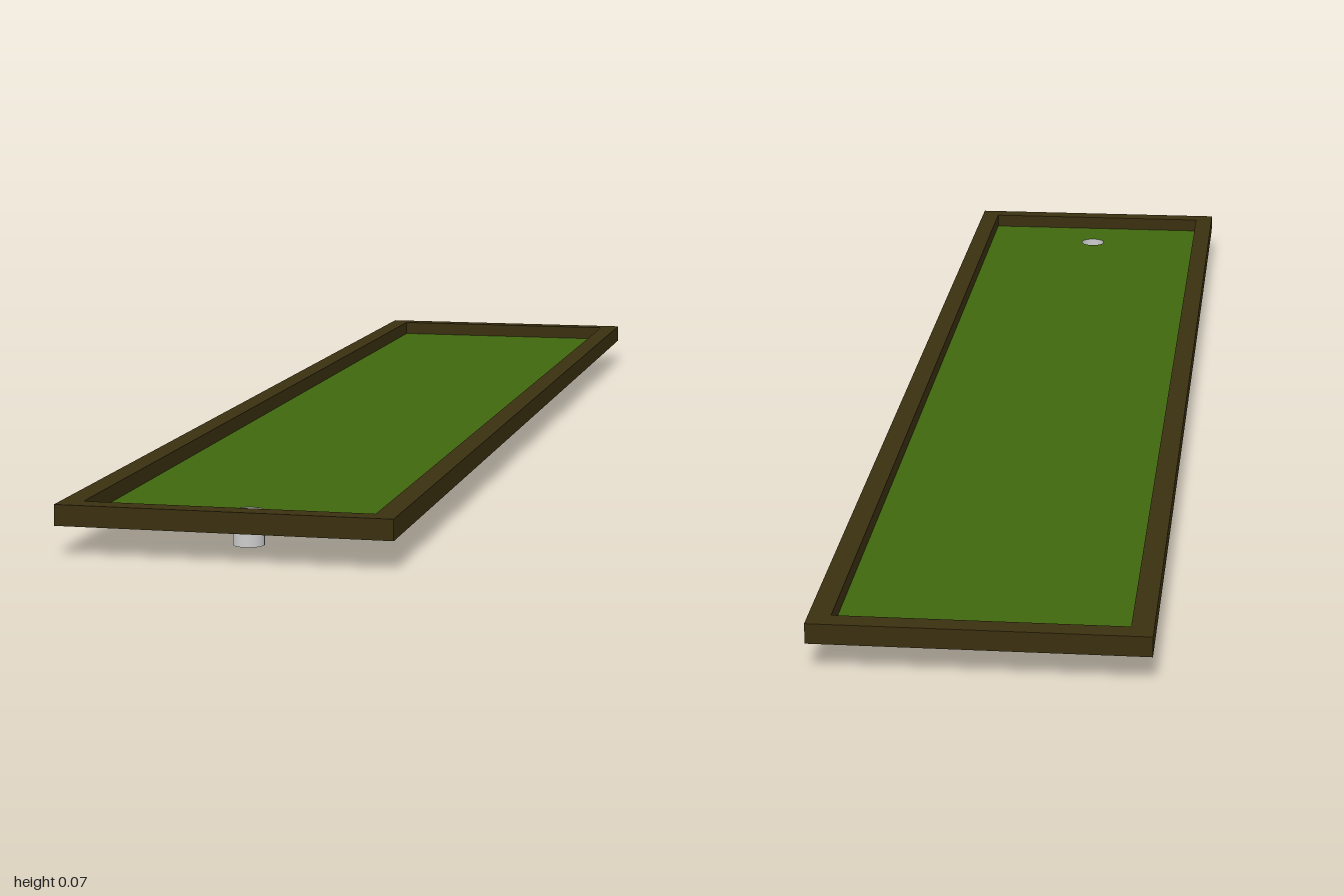
import * as THREE from 'three';

const W = 0.448, L = 2, RAIL = 0.03;      // outer width, length, rail thickness
const Y0 = 0.04, Y1 = 0.068;              // underside and top of the rails
const TURF_Y = 0.042, TURF_H = 0.004;     // turf panel underside and thickness
const CUP_R = 0.021, CUP_Z = 0.873;

export function createModel() {
  const group = new THREE.Group();
  const wood = new THREE.MeshStandardMaterial({ color: 0x3a2f10 });
  const turfMat = new THREE.MeshStandardMaterial({ color: 0x3f680f });
  const grey = new THREE.MeshStandardMaterial({ color: 0xcccccc, side: THREE.DoubleSide });

  const add = (name, geometry, material, x = 0, y = 0, z = 0) => {
    const mesh = new THREE.Mesh(geometry, material);
    mesh.name = name;
    mesh.position.set(x, y, z);
    group.add(mesh);
    return mesh;
  };

  // Rails: two long sides, with the end rails fitted between them
  const h = Y1 - Y0, yMid = (Y0 + Y1) / 2;
  for (const s of [1, -1]) {
    add(s > 0 ? 'leftRail' : 'rightRail', new THREE.BoxGeometry(RAIL, h, L), wood,
      s * (W - RAIL) / 2, yMid, 0);
    add(s > 0 ? 'frontRail' : 'backRail', new THREE.BoxGeometry(W - 2 * RAIL, h, RAIL), wood,
      0, yMid, s * (L - RAIL) / 2);
  }

  // Turf panel with a round hole; shape y becomes -z when laid flat
  const hw = W / 2 - RAIL, hl = L / 2 - RAIL;
  const shape = new THREE.Shape([
    new THREE.Vector2(-hw, -hl), new THREE.Vector2(hw, -hl),
    new THREE.Vector2(hw, hl), new THREE.Vector2(-hw, hl),
  ]);
  shape.holes.push(new THREE.Path().absarc(0, -CUP_Z, CUP_R, 0, Math.PI * 2, true));
  const turf = new THREE.ExtrudeGeometry(shape, { depth: TURF_H, bevelEnabled: false, curveSegments: 32 });
  turf.rotateX(-Math.PI / 2);
  add('turf', turf, turfMat, 0, TURF_Y, 0);

  // Cup hanging below the hole: open tube with a closed floor
  const cupH = TURF_Y + TURF_H;
  add('cupWall', new THREE.CylinderGeometry(CUP_R, CUP_R, cupH, 32, 1, true), grey, 0, cupH / 2, CUP_Z);
  const floor = new THREE.CircleGeometry(CUP_R, 32).rotateX(-Math.PI / 2);
  add('cupFloor', floor, grey, 0, 0, CUP_Z);

  return group;
}
